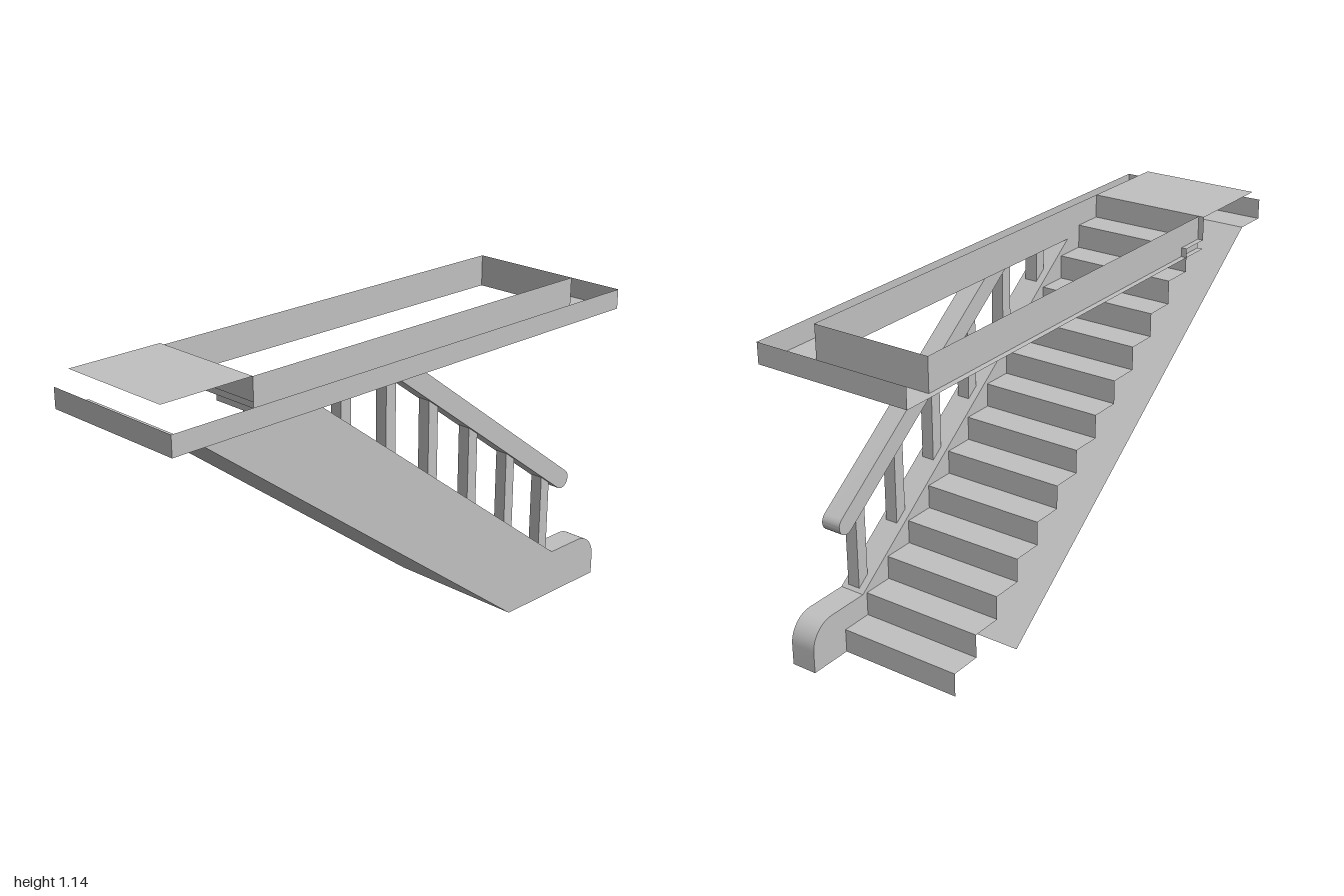
import * as THREE from 'three';
import { toCreasedNormals } from 'three/addons/utils/BufferGeometryUtils.js';

const paint = new THREE.MeshStandardMaterial({ color: 0xc0c0c0, side: THREE.DoubleSide });
paint.name = 'plain grey';

// Main levels and depths
const CEIL = 1.03, BAND_TOP = 1.10, FLOOR = 1.143;
const BACK = -0.275, FRONT = 0.275, INNER = 0.16, OUTER = 0.25;
const STEPS = 14, RISE = FLOOR / STEPS, FOOT_X = 0.82, TOP_X = -0.6;
const RUN = (FOOT_X - TOP_X) / (STEPS - 1);

// Open ribbon: a polyline in x,y swept from z0 to z1
function sheet(points, z0, z1) {
  const pos = [];
  for (let i = 0; i + 1 < points.length; i++) {
    const [ax, ay] = points[i], [bx, by] = points[i + 1];
    pos.push(ax, ay, z0, ax, ay, z1, bx, by, z1, ax, ay, z0, bx, by, z1, bx, by, z0);
  }
  const g = new THREE.BufferGeometry();
  g.setAttribute('position', new THREE.Float32BufferAttribute(pos, 3));
  return toCreasedNormals(g, 0.5);
}

// Upright wall along an x,z path
const wall = (path, y0, y1) => sheet(path, -y0, -y1).rotateX(Math.PI / 2);

const outline = (points) => new THREE.Shape(points.map(([x, y]) => new THREE.Vector2(x, y)));
const plate = (points, z) => new THREE.ShapeGeometry(outline(points)).translate(0, 0, z);
const slab = (points, z0, z1) => toCreasedNormals(
  new THREE.ExtrudeGeometry(outline(points), { depth: z1 - z0, bevelEnabled: false }).translate(0, 0, z0), 0.5);

// Points on an arc, both ends included
function arc(cx, cy, r, a0, a1, n = 12) {
  return Array.from({ length: n + 1 }, (_, i) => {
    const a = a0 + (a1 - a0) * i / n;
    return [cx + r * Math.cos(a), cy + r * Math.sin(a)];
  });
}

export function createModel() {
  const model = new THREE.Group();
  model.name = 'staircase';
  const add = (name, geometry, parent = model) => {
    const mesh = new THREE.Mesh(geometry, paint);
    mesh.name = name;
    parent.add(mesh);
  };

  // Steps: one zigzag of risers and treads, ending in the landing
  const zigzag = [[FOOT_X, 0]];
  for (let i = 0; i < STEPS; i++) {
    const x = FOOT_X - i * RUN, y = (i + 1) * RISE;
    zigzag.push([x, y], [i === STEPS - 1 ? -0.945 : x - RUN, y]);
  }
  add('stepsAndLanding', sheet(zigzag, BACK, INNER));

  // Side string: hollow, with a rounded foot
  const stringTop = [[-0.42, CEIL], [0.73, 0.165], ...arc(0.88, 0.075, 0.09, Math.PI / 2, 0), [0.97, 0]];
  add('stringOuterFace', plate([[-0.88, CEIL], ...stringTop, [0.5, 0]], OUTER));
  add('stringInnerFace', plate([[-0.66, CEIL], ...stringTop, [0.72, 0]], INNER));
  add('stringCapping', sheet(stringTop, INNER, OUTER));

  // Sloping underside
  add('soffit', sheet([[0.5, 0], [-0.88, CEIL]], BACK, OUTER));

  // Handrail with a rounded lower end, cut off at the ceiling
  const slope = 0.746, endX = 0.775, endY = 0.435, r = 0.034;
  const tilt = -Math.atan(slope);
  const railX = endX - (CEIL - endY) / slope, half = r / Math.sin(-tilt);
  add('handrail', slab([
    [railX - half, CEIL],
    ...arc(endX, endY, r, tilt - Math.PI / 2, tilt + Math.PI / 2),
    [railX + half, CEIL],
  ], 0.173, 0.243));

  // Balusters between string and handrail
  const balusters = new THREE.Group();
  balusters.name = 'balusters';
  model.add(balusters);
  const capY = (x) => CEIL - 0.752 * (x + 0.42);
  const railY = (x) => Math.min(CEIL, endY + slope * (endX - x) - 0.02);
  for (let i = 0; i < 6; i++) {
    const x0 = -0.31 + 0.197 * i, x1 = x0 + 0.043;
    add('baluster', slab([[x0, capY(x0)], [x1, capY(x1)], [x1, railY(x1)], [x0, railY(x0)]], 0.185, 0.23), balusters);
  }

  // Ceiling around the stairwell, notched for the string
  const ceiling = [
    [-1, BACK], [-0.88, BACK], [-0.88, OUTER], [-0.42, OUTER], [-0.42, INNER], [0.88, INNER],
    [0.88, -0.255], [TOP_X, -0.255], [TOP_X, BACK], [1, BACK], [1, FRONT], [-1, FRONT],
  ];
  add('ceiling', plate(ceiling, 0).rotateX(Math.PI / 2).translate(0, CEIL, 0));

  // Outer edge band, open at the back
  add('edgeBand', wall([[-1, BACK], [-1, FRONT], [1, FRONT], [1, BACK]], CEIL, BAND_TOP));

  // Upstand lining the stairwell opening
  add('openingLining', wall([[TOP_X, INNER], [0.88, INNER], [0.88, -0.255], [TOP_X, -0.255]], CEIL, FLOOR));

  return model;
}
